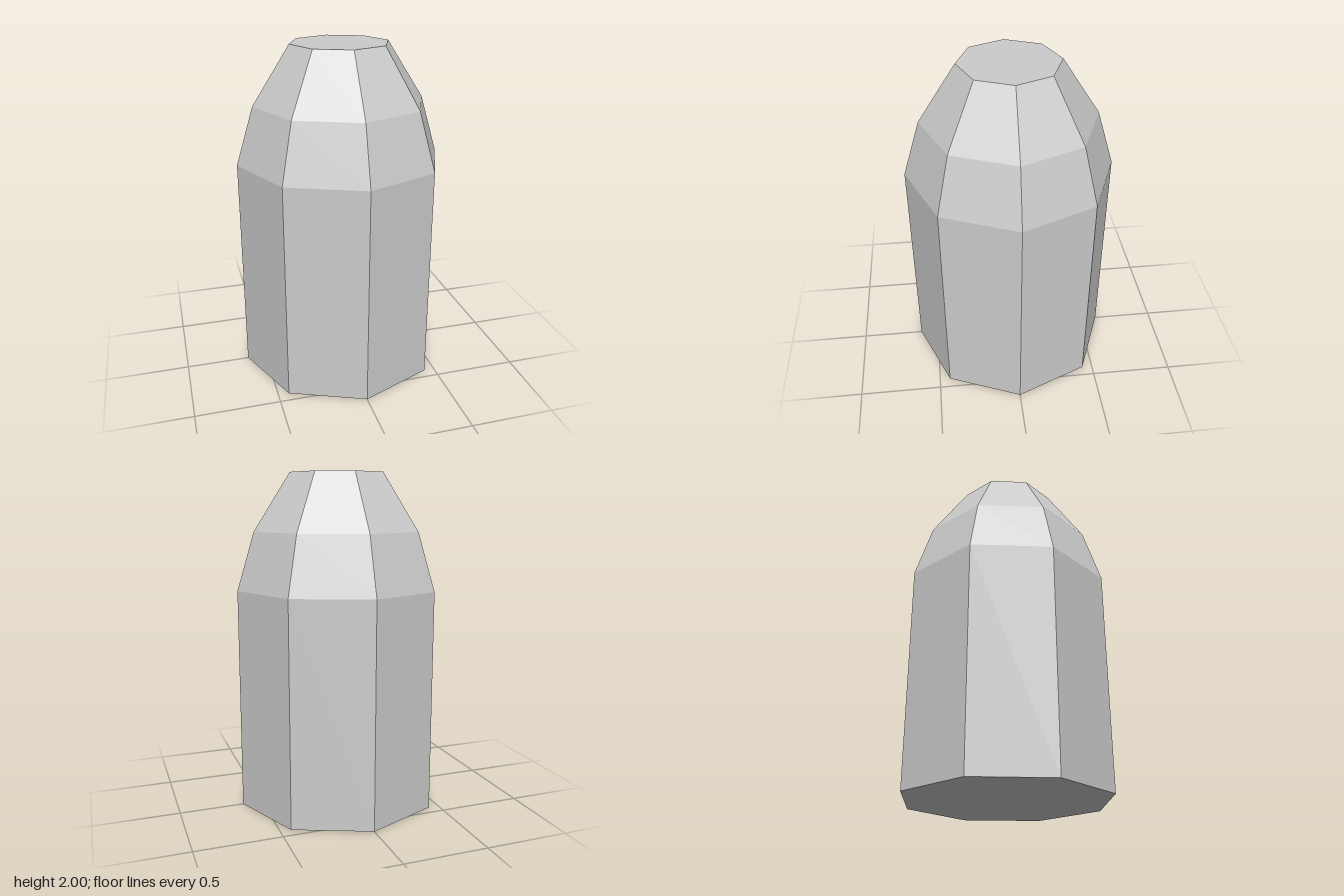
import * as THREE from 'three';

export function createModel() {
  const group = new THREE.Group();
  const material = new THREE.MeshStandardMaterial({ color: 0xcccccc, flatShading: true });

  // Half profile from the centre of the base up to the centre of the flat tip
  const profile = [
    [0, 0],
    [0.617, 0],
    [0.617, 1.32],
    [0.513, 1.66],
    [0.292, 2],
    [0, 2],
  ].map(([r, y]) => new THREE.Vector2(r, y));

  // Eight-sided body with corners on the x and z axes
  const body = new THREE.Mesh(new THREE.LatheGeometry(profile, 8), material);
  body.name = 'taperedOctagonalBody';
  group.add(body);

  return group;
}
